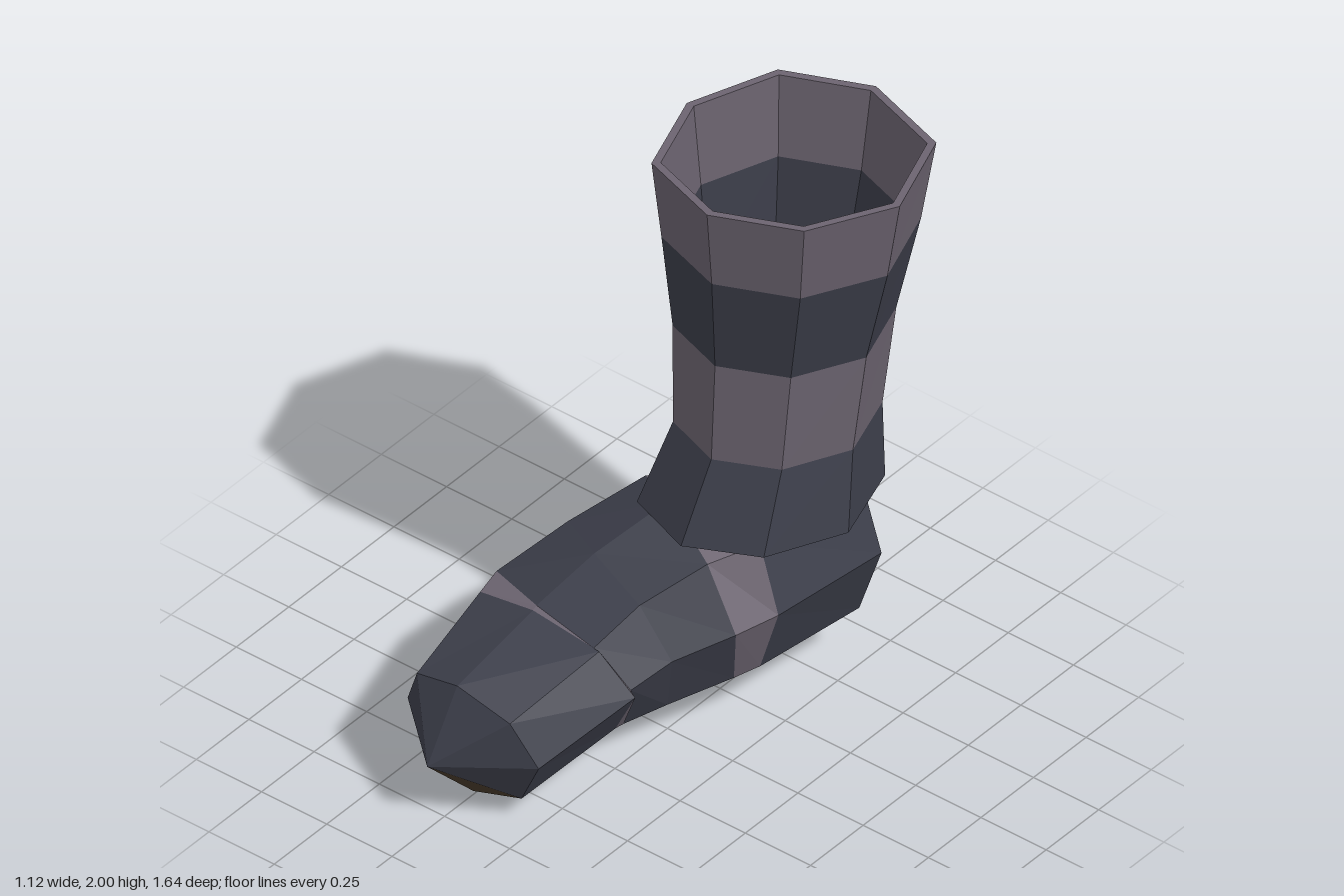
import * as THREE from 'three';

const mat = (name, color) => Object.assign(new THREE.MeshStandardMaterial({ color }), { name });

// Skins successive 8-point rings with flat facets, one mesh per colour.
function loft(rings, colourOf, names) {
  const soups = new Map();
  const n = 8;
  for (let s = 0; s < rings.length - 1; s++) {
    for (let i = 0; i < n; i++) {
      const j = (i + 1) % n;
      const [a, b, c, d] = [rings[s][i], rings[s][j], rings[s + 1][j], rings[s + 1][i]];
      const m = colourOf(s, i);
      if (!soups.has(m)) soups.set(m, []);
      for (const t of [[a, b, c], [a, c, d]]) {
        // skip the collapsed triangles at the end points
        if (new THREE.Triangle(...t).getArea() > 1e-7) soups.get(m).push(...t);
      }
    }
  }
  const group = new THREE.Group();
  for (const [m, points] of soups) {
    const g = new THREE.BufferGeometry().setFromPoints(points);
    g.computeVertexNormals();
    const mesh = new THREE.Mesh(g, m);
    mesh.name = names[m.name];
    group.add(mesh);
  }
  return group;
}

// Octagonal cross-section from its left, top, right and bottom points.
function section(left, top, right, bottom) {
  const p = [left, top, right, bottom].map(v => new THREE.Vector3(...v));
  const c = new THREE.Vector3();
  p.forEach(v => c.addScaledVector(v, 0.25));
  const ring = [];
  p.forEach((v, i) => {
    const next = p[(i + 1) % 4];
    ring.push(v, v.clone().add(next).addScaledVector(c, -2).multiplyScalar(0.71).add(c));
  });
  return ring;
}
const tip = (x, y, z) => Array.from({ length: 8 }, () => new THREE.Vector3(x, y, z));

export function createModel() {
  const dark = mat('dark slate', 0x3c3e4a);
  const pale = mat('dusty mauve', 0x6c6470);
  const brown = mat('sole brown', 0x4a3b2c);
  const model = new THREE.Group();
  model.name = 'boot';

  // Shaft: slightly irregular octagon scaled per level, starting at the front
  const unit = [[-0.04, 1], [0.64, 0.7], [1, 0.02], [0.73, -0.75],
    [-0.04, -1], [-0.73, -0.7], [-1, 0.04], [-0.75, 0.77]];
  // y, centre x, centre z, radius x, radius z
  const levels = [
    [0.715, 0.065, -0.372, 0.335, 0.372],
    [0.98, 0.083, -0.428, 0.288, 0.308],
    [1.34, 0.098, -0.442, 0.313, 0.322],
    [1.7, 0.133, -0.432, 0.368, 0.368],
    [2, 0.155, -0.418, 0.405, 0.402],
  ];
  const level = ([y, cx, cz, rx, rz], inset) =>
    unit.map(([x, z]) => new THREE.Vector3(cx + x * (rx - inset), y, cz + z * (rz - inset)));
  const outer = levels.map(l => level(l, 0));
  const inner = levels.map(l => level(l, 0.026)).reverse();
  const bands = [dark, pale, dark, pale, pale, pale, dark, pale, dark, pale];
  const shaft = loft([...outer, ...inner, outer[0]], s => bands[s],
    { 'dark slate': 'shaftDarkBands', 'dusty mauve': 'shaftPaleBands' });
  shaft.name = 'shaft';
  model.add(shaft);

  // Foot: sections from heel to toe (left, top, right, bottom)
  const rings = [
    tip(0.11, 0.48, -0.78),
    section([0.345, 0.475, -0.59], [0.06, 0.8, -0.63], [-0.19, 0.475, -0.7], [0.03, 0.08, -0.655]),
    section([0.28, 0.455, -0.18], [0, 0.76, -0.24], [-0.27, 0.46, -0.32], [0, 0.11, -0.24]),
    section([0.23, 0.44, -0.04], [-0.1, 0.735, -0.13], [-0.33, 0.47, -0.32], [-0.03, 0.11, -0.22]),
    section([0.13, 0.4, 0.14], [-0.2, 0.625, 0.1], [-0.45, 0.42, -0.1], [-0.13, 0.07, 0]),
    section([0.085, 0.355, 0.28], [-0.26, 0.52, 0.3], [-0.56, 0.36, 0.13], [-0.22, 0.045, 0.15]),
    section([0.11, 0.345, 0.29], [-0.25, 0.525, 0.33], [-0.54, 0.34, 0.28], [-0.25, 0.05, 0.22]),
    section([0.03, 0.255, 0.65], [-0.25, 0.457, 0.69], [-0.48, 0.27, 0.64], [-0.26, 0, 0.6]),
    tip(-0.26, 0.225, 0.82),
  ];
  // The two lowest sides form the sole; two wedges are pale cuffs
  const foot = loft(rings, (s, i) => (i === 5 || i === 6) ? brown : (s === 2 || s === 5) ? pale : dark,
    { 'dark slate': 'footUpper', 'dusty mauve': 'footStripes', 'sole brown': 'sole' });
  foot.name = 'foot';
  model.add(foot);

  return model;
}
